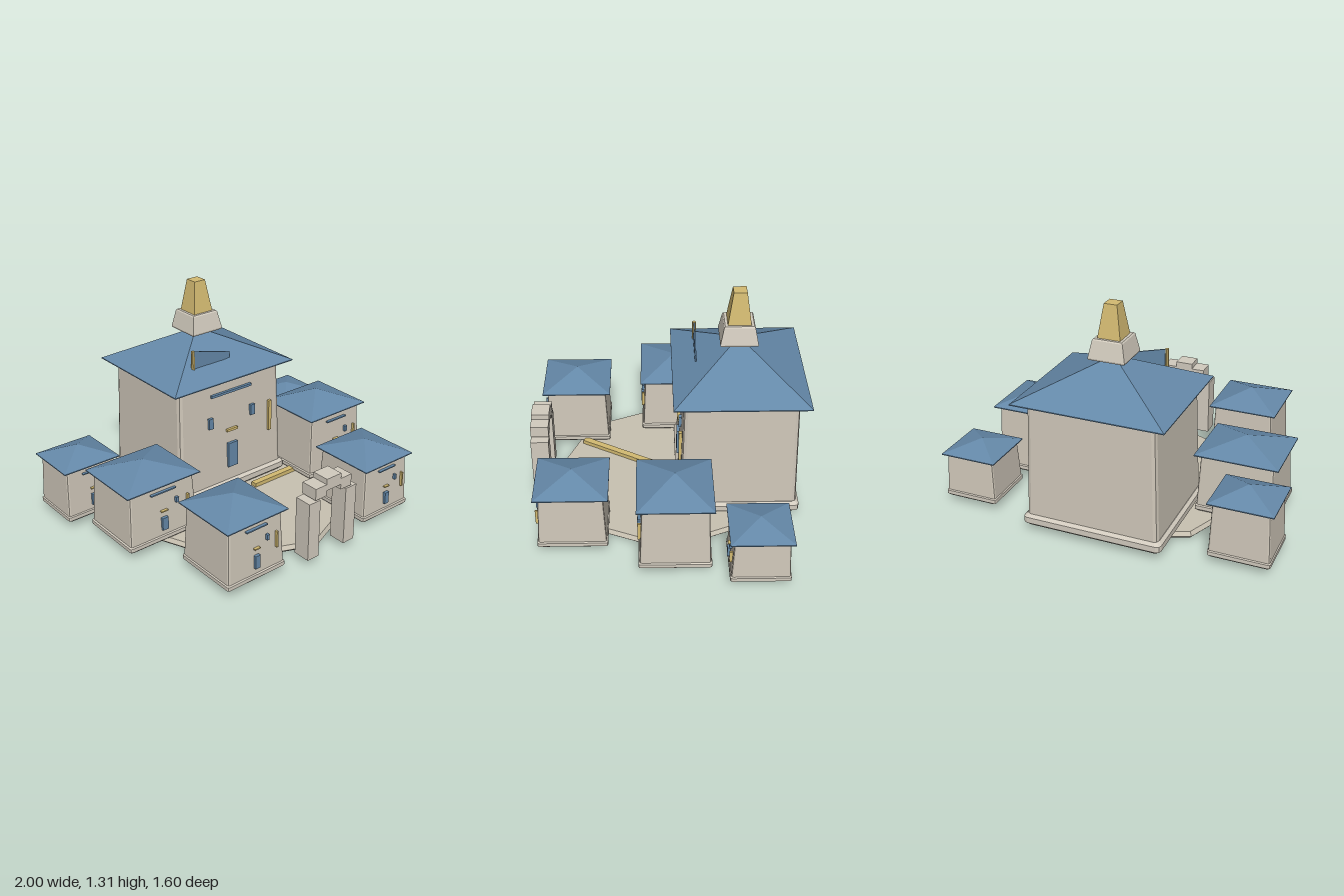
import * as THREE from 'three';

const mat = (name, color) => Object.assign(new THREE.MeshStandardMaterial({ color, flatShading: true }), { name });

// Stack of rounded rectangles, each section being [y, halfX, halfZ, cornerRadius]
function loft(sections, arc = 2) {
  const rings = sections.map(([y, hx, hz, r = 0]) => {
    const ring = [];
    for (let c = 0; c < 4; c++) {
      const sx = c === 0 || c === 3 ? 1 : -1, sz = c < 2 ? -1 : 1;
      for (let k = 0; k <= arc; k++) {
        const a = (c + (arc ? k / arc : 0.5)) * Math.PI / 2;
        ring.push([sx * (hx - r) + r * Math.cos(a), y, sz * (hz - r) - r * Math.sin(a)]);
      }
    }
    return ring;
  });
  const pos = [], n = rings[0].length, last = rings.length - 1;
  const tri = (a, b, c) => pos.push(...a, ...b, ...c);
  for (let i = 0; i < n; i++) {
    const j = (i + 1) % n;
    for (let s = 0; s < last; s++) {
      const lo = rings[s], hi = rings[s + 1];
      tri(lo[i], lo[j], hi[j]);
      tri(lo[i], hi[j], hi[i]);
    }
    tri([0, sections[0][0], 0], rings[0][j], rings[0][i]);
    tri([0, sections[last][0], 0], rings[last][i], rings[last][j]);
  }
  const g = new THREE.BufferGeometry();
  g.setAttribute('position', new THREE.Float32BufferAttribute(pos, 3));
  g.computeVertexNormals();
  return g;
}

export function createModel() {
  const model = new THREE.Group();
  model.name = 'walledSettlement';
  const wall = mat('wallStone', 0xcfc7b9);
  const trim = mat('trimStone', 0xd3ccbf);
  const ground = mat('groundStone', 0xc9c2b2);
  const blue = mat('slateBlue', 0x6589a9);
  const gold = mat('gold', 0xd4bb72);

  const add = (parent, name, geo, material, x = 0, y = 0, z = 0) => {
    const m = new THREE.Mesh(geo, material);
    m.name = name;
    m.position.set(x, y, z);
    parent.add(m);
    return m;
  };
  const box = (parent, name, material, x0, x1, y0, y1, z0, z1) =>
    add(parent, name, new THREE.BoxGeometry(x1 - x0, y1 - y0, z1 - z0), material,
      (x0 + x1) / 2, (y0 + y1) / 2, (z0 + z1) / 2);

  // Octagonal courtyard with a bevelled rim
  add(model, 'courtyardLower', new THREE.CylinderGeometry(0.69, 0.675, 0.015, 8), ground, 0, 0.0075, 0);
  add(model, 'courtyardUpper', new THREE.CylinderGeometry(0.675, 0.69, 0.025, 8), ground, 0, 0.0275, 0);

  // Building with plinth, battered walls, hipped roof and front details
  const floor = 0.045;
  function building(name, cx, cz, hx, hz, eave, apex, main = false) {
    const g = new THREE.Group();
    g.name = name;
    g.position.set(cx, 0, cz);
    model.add(g);
    const [fp, fb, ft] = main ? [0.935, 0.89, 0.845] : [0.96, 0.93, 0.865];
    const h = eave - floor, ph = main ? 0.07 : 0.045, b = ph * 0.25, r = main ? 0.025 : 0.012;
    const at = (y, f, inset = 0) => [y, hx * f - inset, hz * f - inset, r];
    add(g, 'plinth', loft([at(floor, fp, b), at(floor + b, fp), at(floor + ph - b, fp), at(floor + ph, fp, b)]), trim);
    add(g, 'walls', loft([at(floor + ph - 0.005, fb), at(eave - r, ft), at(eave + 0.003, ft, r * 0.4)]), wall);
    add(g, 'roof', loft([[eave - 0.003, hx, hz], [eave + 0.003, hx, hz], [apex, 0.001, 0.001]], 0), blue);

    // Fittings follow the slope of the front wall
    const fit = (part, material, u, halfW, v0, v1) => {
      const v = (v0 + v1) / 2, z = hz * (fb + (ft - fb) * v) + 0.017;
      box(g, part, material, hx * (u - halfW), hx * (u + halfW), floor + h * v0, floor + h * v1, z - 0.024, z);
    };
    fit('strip', blue, 0, 0.34, 0.865, 0.885);
    fit('door', blue, 0, 0.08, 0.21, 0.425);
    fit('lintel', gold, 0, 0.09, 0.53, 0.55);
    fit('window', blue, 0.36, 0.035, 0.605, 0.695);
    if (main) fit('window', blue, -0.36, 0.035, 0.605, 0.695);
    fit('wallPole', gold, 0.67, 0.025, 0.41, 0.675);
  }
  building('mainHall', 0.003, -0.419, 0.443, 0.383, 0.8, 1.01, true);
  building('backRightHouse', -0.817, -0.518, 0.184, 0.168, 0.373, 0.445);
  building('backLeftHouse', 0.824, -0.5, 0.171, 0.174, 0.32, 0.378);
  building('midRightHouse', -0.661, -0.063, 0.246, 0.214, 0.407, 0.485);
  building('midLeftHouse', 0.655, -0.04, 0.23, 0.212, 0.455, 0.545);
  building('frontRightHouse', -0.503, 0.555, 0.207, 0.211, 0.41, 0.49);
  building('frontLeftHouse', 0.511, 0.535, 0.193, 0.208, 0.39, 0.465);

  // Rooftop pedestal and gilded finial
  add(model, 'pedestal', loft([[1.005, 0.105, 0.105], [1.015, 0.108, 0.108], [1.115, 0.088, 0.088], [1.122, 0.082, 0.082]], 0), trim, 0.004, 0, -0.414);
  add(model, 'finial', loft([[1.12, 0.067, 0.067], [1.312, 0.038, 0.038]], 0), gold, 0.004, 0, -0.414);

  // Pole and pennant on the front roof slope
  add(model, 'flagPole', new THREE.CylinderGeometry(0.011, 0.011, 0.155, 8), gold, -0.21, 0.908, -0.172);
  const pennant = new THREE.Shape([[-0.2, 0.86], [0.058, 0.878], [0.058, 0.917], [-0.2, 0.982]]
    .map(([x, y]) => new THREE.Vector2(x, y)));
  add(model, 'pennant', new THREE.ExtrudeGeometry(pennant, { depth: 0.008, bevelEnabled: false }), blue, 0, 0, -0.176);

  // Gilded paths across the courtyard
  const path = (x0, z0, x1, z1) => {
    const dx = x1 - x0, dz = z1 - z0;
    const m = add(model, 'path', new THREE.BoxGeometry(Math.hypot(dx, dz), 0.026, 0.04), gold,
      (x0 + x1) / 2, 0.052, (z0 + z1) / 2);
    m.rotation.y = -Math.atan2(dz, dx);
  };
  path(-0.06, 0.095, -0.3, 0.515);
  path(0.12, -0.01, 0.56, -0.01);

  // Stepped stone gateway
  const gate = new THREE.Group();
  gate.name = 'gateway';
  gate.position.set(0.003, 0, 0);
  model.add(gate);
  for (const s of [-1, 1]) {
    const span = (name, a, b, y0, y1) =>
      box(gate, name, trim, Math.min(s * a, s * b), Math.max(s * a, s * b), y0, y1, 0.692, 0.798);
    span('gatePost', 0.096, 0.177, 0.042, 0.4);
    span('gateShoulder', 0.054, 0.134, 0.41, 0.48);
  }
  box(gate, 'gateKeystone', trim, -0.054, 0.054, 0.442, 0.513, 0.692, 0.798);

  return model;
}
